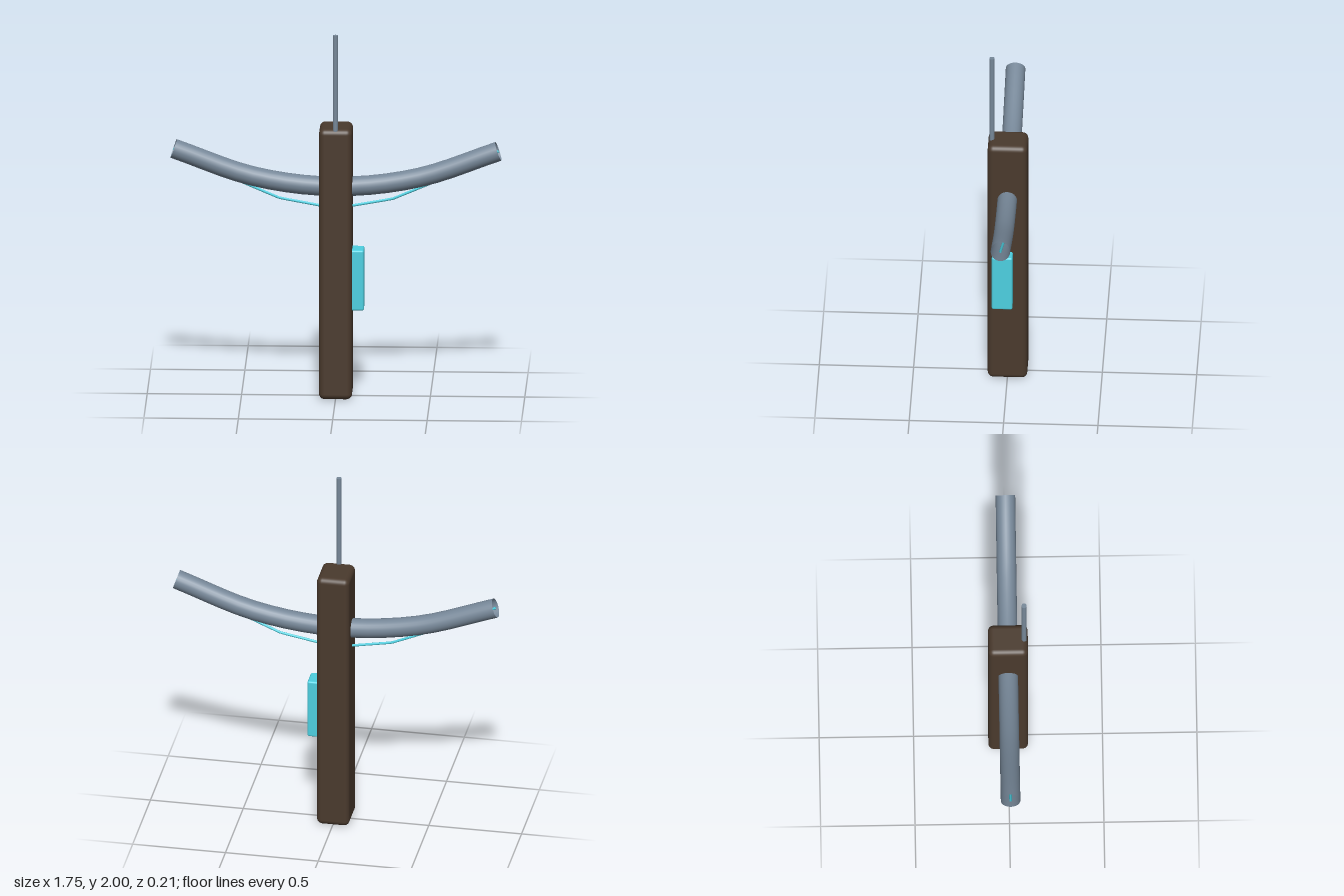
import * as THREE from 'three';
import { RoundedBoxGeometry } from 'three/addons/geometries/RoundedBoxGeometry.js';

const paint = (color, side = THREE.FrontSide) => new THREE.MeshStandardMaterial({ color, side });

export function createModel() {
  const group = new THREE.Group();
  const wood = paint(0x4a3a2d);
  const metal = paint(0x778899);
  const tubeMetal = paint(0x778899, THREE.DoubleSide);
  const cyan = paint(0x4dd0e1);
  const cyanTube = paint(0x4dd0e1, THREE.DoubleSide);

  const add = (name, geometry, material, x = 0, y = 0, z = 0) => {
    const mesh = new THREE.Mesh(geometry, material);
    mesh.name = name;
    mesh.position.set(x, y, z);
    group.add(mesh);
  };

  // Mirror a half outline (from the middle to the +x end) into a full path
  const mirrored = (half) => [
    ...half.slice(1).reverse().map(([x, y]) => new THREE.Vector3(-x, y, 0)),
    ...half.map(([x, y]) => new THREE.Vector3(x, y, 0)),
  ];

  // Upright stock with softened edges
  add('stock', new RoundedBoxGeometry(0.175, 1.48, 0.21, 4, 0.03), wood, 0, 0.745, 0);

  // Rod standing out of the top, near the front face
  add('rod', new THREE.CylinderGeometry(0.0135, 0.0135, 0.9, 16), metal, 0, 1.55, 0.085);

  // Curved hollow bow passing through the stock
  const bowPath = new THREE.CatmullRomCurve3(mirrored([[0, 1.15], [0.43, 1.2], [0.86, 1.35]]));
  add('bow', new THREE.TubeGeometry(bowPath, 20, 0.052, 24), tubeMetal);

  // Bowstring hanging below the bow and running into its open ends
  const stringPath = new THREE.CurvePath();
  const points = mirrored([[0, 1.03], [0.3, 1.085], [0.58, 1.205], [0.86, 1.35]]);
  for (let i = 1; i < points.length; i++) {
    stringPath.add(new THREE.LineCurve3(points[i - 1], points[i]));
  }
  add('bowstring', new THREE.TubeGeometry(stringPath, 48, 0.007, 8), cyanTube);

  // Side box set into the stock
  add('sideBox', new RoundedBoxGeometry(0.12, 0.33, 0.11, 3, 0.01), cyan, 0.09, 0.655, 0.025);

  return group;
}
